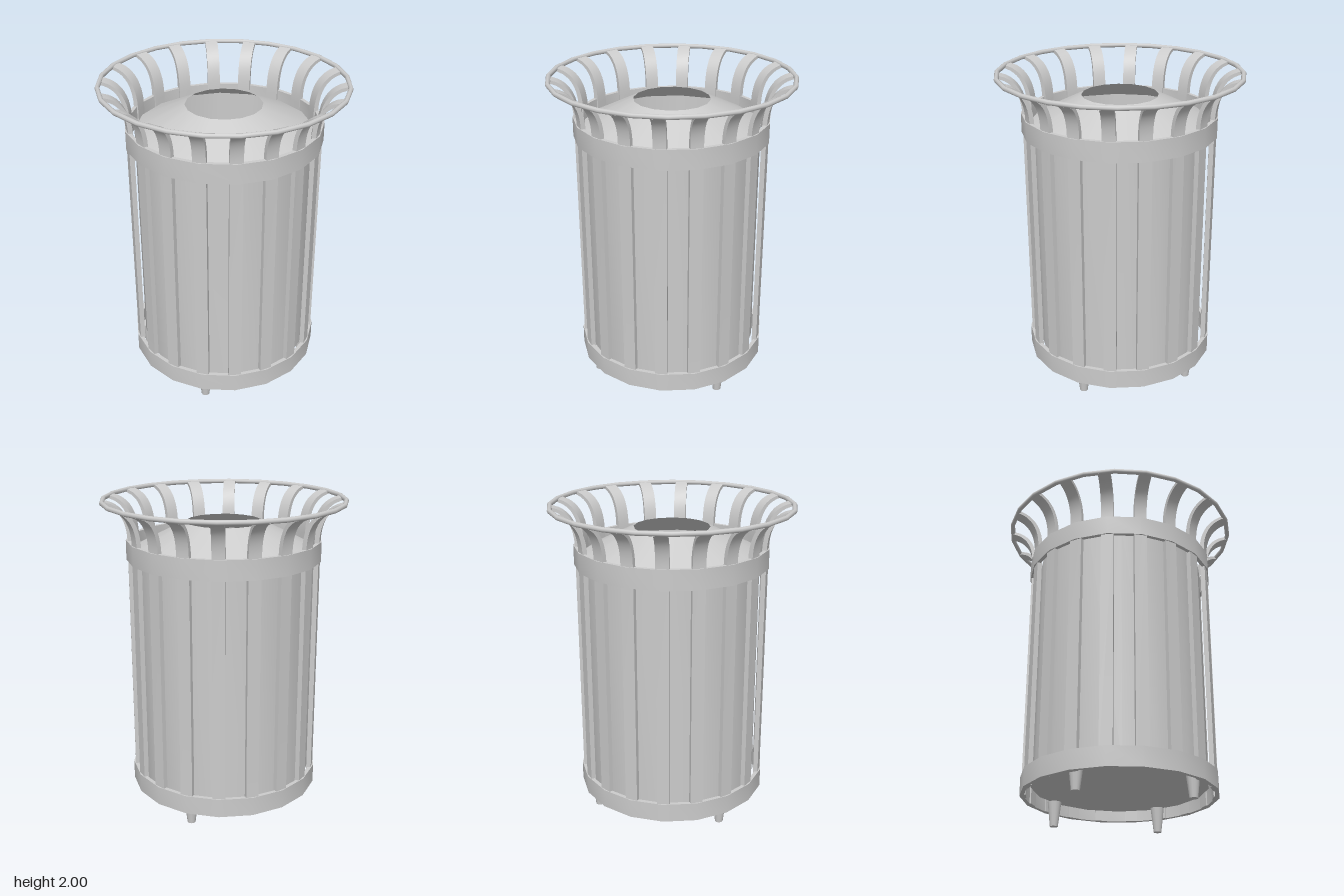
import * as THREE from 'three';
import { toCreasedNormals } from 'three/addons/utils/BufferGeometryUtils.js';

const solid = new THREE.MeshStandardMaterial({ color: 0xcccccc });
const sheet = new THREE.MeshStandardMaterial({ color: 0xcccccc, side: THREE.DoubleSide });
const SLATS = 18;

function part(name, geometry, parent, material = solid) {
  const mesh = new THREE.Mesh(geometry, material);
  mesh.name = name;
  parent.add(mesh);
  return mesh;
}

// Lathe from [radius, y] pairs
function turned(profile, sides, turn) {
  const points = profile.map(([r, y]) => new THREE.Vector2(r, y));
  return new THREE.LatheGeometry(points, sides).rotateY(turn);
}

// Hoop, smooth around but sharp at its edges
function bandGeometry(y0, y1) {
  const inner = 0.59, outer = 0.615;
  const profile = [[outer, y0], [outer, y1], [inner, y1], [inner, y0], [outer, y0]];
  return toCreasedNormals(turned(profile, SLATS, Math.PI / 2), 0.42);
}

// Flat bar: straight up the side, then flaring outward to the rim
function slatGeometry() {
  const half = 0.015, radius = 0.589, width = 0.08;
  const flare = new THREE.CatmullRomCurve3([
    [radius, 1.72], [0.593, 1.79], [0.609, 1.86], [0.642, 1.92], [0.69, 1.96], [0.752, 1.982],
  ].map(([x, y]) => new THREE.Vector3(x, y, 0)));
  const outside = [new THREE.Vector2(radius + half, 0.1)];
  const inside = [new THREE.Vector2(radius - half, 0.1)];
  for (let i = 0; i <= 12; i++) {
    const p = flare.getPoint(i / 12), t = flare.getTangent(i / 12);
    const h = half - 0.005 * i / 12;
    outside.push(new THREE.Vector2(p.x + t.y * h, p.y - t.x * h));
    inside.push(new THREE.Vector2(p.x - t.y * h, p.y + t.x * h));
  }
  const shape = new THREE.Shape([...outside, ...inside.reverse()]);
  const geometry = new THREE.ExtrudeGeometry(shape, { depth: width, bevelEnabled: false });
  return toCreasedNormals(geometry.translate(0, 0, -width / 2), 0.42);
}

export function createModel() {
  const model = new THREE.Group();
  model.name = 'litterBin';

  // Hollow inner drum, its floor raised inside the lower hoop
  const drum = turned([[0, 0.16], [0.55, 0.16], [0.55, 1.695]], 16, Math.PI / 16);
  part('liner', toCreasedNormals(drum, 0.42), model, sheet);

  // Sloping lid with an open round mouth
  part('lid', turned([[0.55, 1.695], [0.24, 1.85]], 16, Math.PI / 16), model, sheet);

  // Hoops holding the slats
  part('lowerBand', bandGeometry(0.1, 0.222), model);
  part('upperBand', bandGeometry(1.62, 1.745), model);

  // Ring of flared slats
  const slats = new THREE.Group();
  slats.name = 'slats';
  model.add(slats);
  const slat = slatGeometry();
  for (let i = 0; i < SLATS; i++) {
    part('slat', slat, slats).rotation.y = (i / SLATS) * Math.PI * 2;
  }

  // Round rim at the top of the flare
  const rim = new THREE.TorusGeometry(0.755, 0.015, 8, 24).rotateX(Math.PI / 2);
  part('rim', rim, model).position.y = 1.985;

  // Tapered feet
  const foot = new THREE.CylinderGeometry(0.045, 0.026, 0.16, 12);
  for (const x of [-0.41, 0.41]) {
    for (const z of [-0.345, 0.345]) {
      part('foot', foot, model).position.set(x, 0.08, z);
    }
  }
  return model;
}
